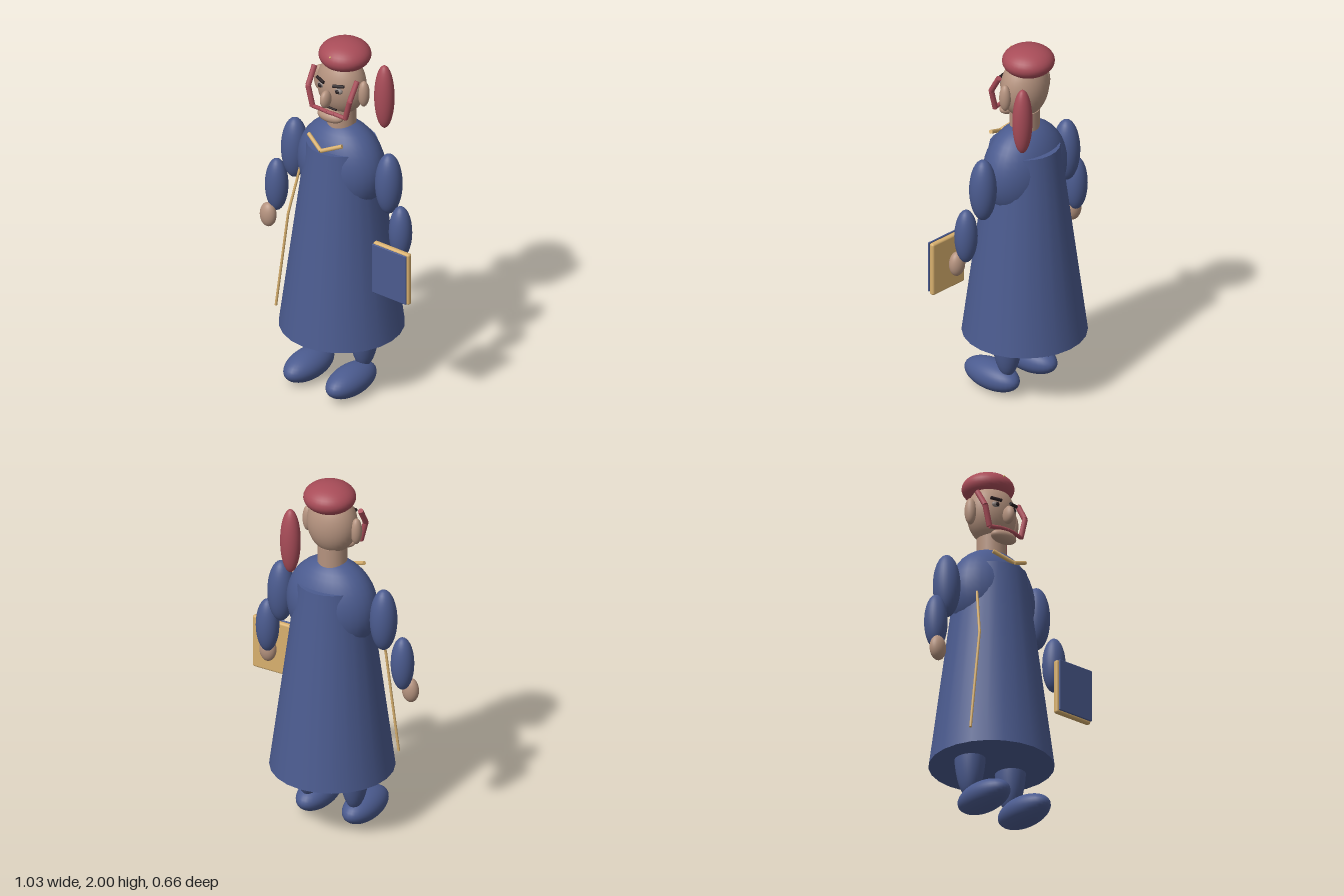
import * as THREE from 'three';
import { RoundedBoxGeometry } from 'three/addons/geometries/RoundedBoxGeometry.js';

const mat = (name, color) => {
  const m = new THREE.MeshStandardMaterial({ color });
  m.name = name;
  return m;
};

export function createModel() {
  const blue = mat('robe blue', 0x4b5b8f);
  const red = mat('hair red', 0xa84c58);
  const skin = mat('skin', 0xb5937f);
  const gold = mat('gold', 0xd8b06e);
  const dark = mat('dark brown', 0x2a2022);
  const grey = mat('eye grey', 0x8f8480);

  const model = new THREE.Group();
  model.name = 'robedFigure';
  // the body axis sits slightly to one side because of the book
  const body = new THREE.Group();
  body.name = 'body';
  body.position.x = -0.043;
  model.add(body);

  const add = (name, geo, material, pos = [0, 0, 0], parent = body) => {
    const m = new THREE.Mesh(geo, material);
    m.name = name;
    m.position.set(...pos);
    parent.add(m);
    return m;
  };
  const ball = (name, material, pos, radii, parent) => {
    const geo = new THREE.SphereGeometry(1, 32, 20);
    geo.scale(...radii);
    return add(name, geo, material, pos, parent);
  };
  // straight rod between two points
  const rod = (name, material, a, b, r, parent) => {
    const p = new THREE.Vector3(...a), q = new THREE.Vector3(...b);
    const d = q.clone().sub(p);
    const geo = new THREE.CylinderGeometry(r, r, d.length(), 10);
    const m = add(name, geo, material, p.clone().add(q).multiplyScalar(0.5).toArray(), parent);
    m.quaternion.setFromUnitVectors(new THREE.Vector3(0, 1, 0), d.normalize());
    return m;
  };
  const chain = (name, material, pts, r, parent) => {
    for (let i = 1; i < pts.length; i++) rod(name, material, pts[i - 1], pts[i], r, parent);
  };

  // robe and torso
  add('robe', new THREE.CylinderGeometry(0.185, 0.328, 1.09, 24), blue, [0, 0.875, 0]);
  ball('torso', blue, [0, 1.285, 0], [0.256, 0.268, 0.18]);
  add('neck', new THREE.CylinderGeometry(0.078, 0.078, 0.12, 24), skin, [0, 1.57, 0]);

  // head
  ball('head', skin, [0, 1.76, 0], [0.138, 0.168, 0.115]);
  ball('chin', skin, [0, 1.608, 0.095], [0.08, 0.035, 0.042]);
  ball('nose', skin, [0, 1.722, 0.135], [0.026, 0.05, 0.038]);
  ball('hat', red, [0, 1.922, -0.027], [0.138, 0.08, 0.137]);
  ball('hatPin', gold, [0, 1.955, 0.098], [0.006, 0.006, 0.006]);
  ball('ponytail', red, [0.166, 1.67, -0.146], [0.055, 0.185, 0.05]);
  rod('mouth', dark, [-0.035, 1.65, 0.092], [0.035, 1.65, 0.092], 0.006);

  // paired parts
  for (const s of [-1, 1]) {
    const side = s > 0 ? 'left' : 'right';
    ball(side + 'Ear', skin, [s * 0.145, 1.745, 0], [0.03, 0.074, 0.032]);
    ball(side + 'Eye', grey, [s * 0.057, 1.775, 0.099], [0.024, 0.017, 0.016]);
    ball(side + 'Iris', dark, [s * 0.057, 1.775, 0.112], [0.012, 0.012, 0.007]);
    rod(side + 'Brow', dark, [s * 0.03, 1.802, 0.115], [s * 0.088, 1.808, 0.095], 0.009);

    // jaw whiskers framing the face
    const temple = [s * 0.14, 1.84, 0.05], cheek = [s * 0.137, 1.745, 0.108];
    const jaw = [s * 0.108, 1.633, 0.108], lip = [s * 0.045, 1.641, 0.118];
    chain(side + 'Whisker', red, [temple, cheek, jaw], 0.015);
    chain(side + 'Moustache', red, [jaw, lip, [0, 1.641, 0.122]], 0.011);

    // collar trim
    rod(side + 'Collar', gold, [s * 0.11, 1.48, 0.138], [0, 1.432, 0.177], 0.011);

    // arms
    ball(side + 'UpperArm', blue, [s * 0.309, 1.267, 0], [0.072, 0.175, 0.072]);
    ball(side + 'Forearm', blue, [s * 0.407, 1.023, 0.027], [0.062, 0.152, 0.06]);
    ball(side + 'Hand', skin, [s * 0.43, 0.853, 0.069], [0.047, 0.069, 0.038]);

    // legs and shoes
    ball(side + 'Leg', blue, [s * 0.139, 0.38, -0.01], [0.079, 0.27, 0.087]);
    ball(side + 'Shoe', blue, [s * 0.139, 0.08, 0.1], [0.093, 0.08, 0.18]);
  }

  // book with cover plate
  add('book', new RoundedBoxGeometry(0.236, 0.302, 0.03, 3, 0.012), gold, [0.395, 0.84, 0.135], model);
  add('bookCover', new RoundedBoxGeometry(0.222, 0.288, 0.01, 2, 0.004), blue, [0.395, 0.843, 0.161], model);

  // slender cord hanging beside the robe
  chain('cord', gold, [[-0.235, 1.235, 0.105], [-0.268, 0.975, 0.163], [-0.34, 0.405, 0.174]], 0.007, model);

  return model;
}
